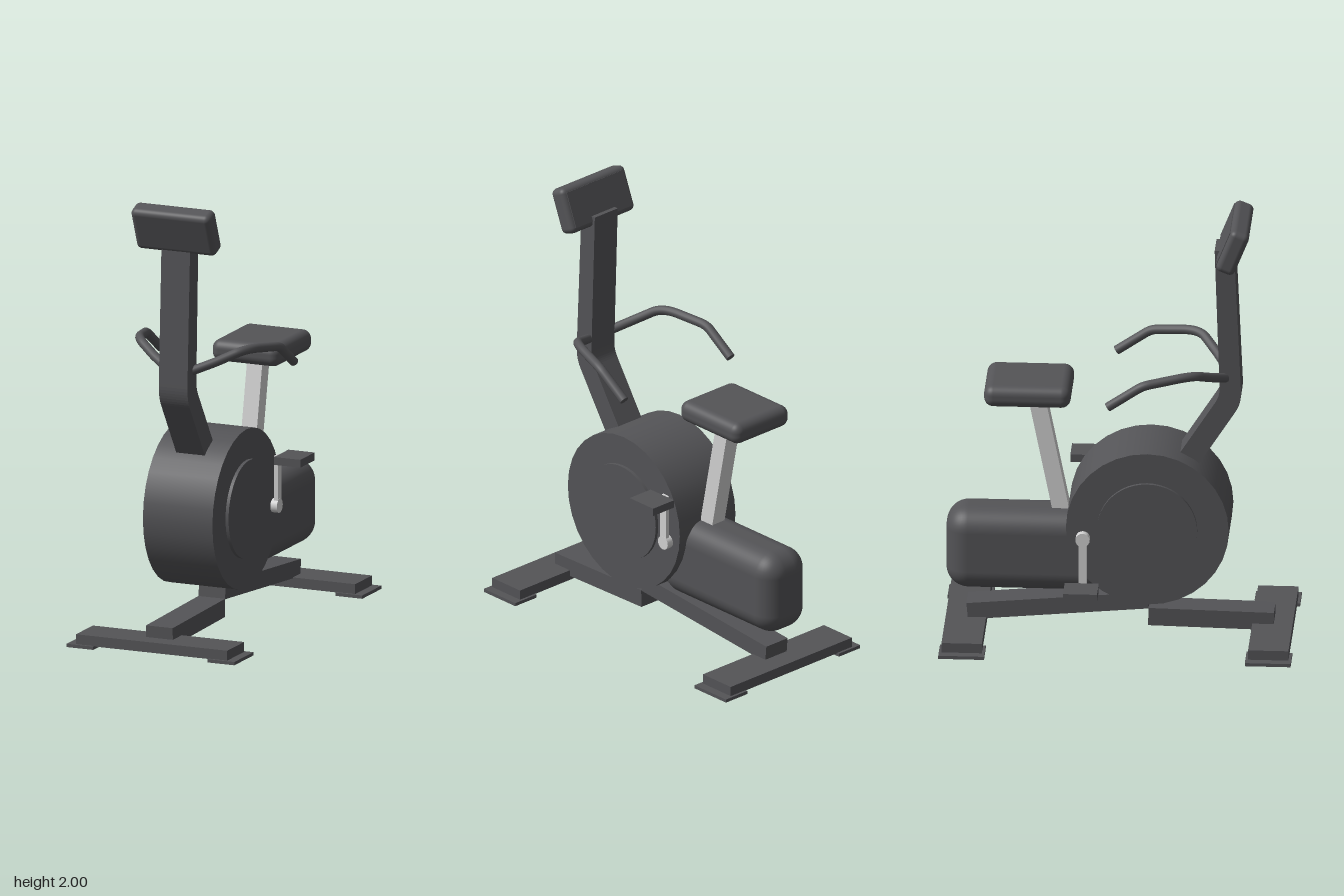
import * as THREE from 'three';
import { RoundedBoxGeometry } from 'three/addons/geometries/RoundedBoxGeometry.js';

const dark = new THREE.MeshStandardMaterial({ color: 0x545457 });
dark.name = 'charcoal';
const light = new THREE.MeshStandardMaterial({ color: 0xd2d2d2 });
light.name = 'silver';

export function createModel() {
  const model = new THREE.Group();
  model.name = 'exerciseBike';

  const add = (name, geometry, material, x = 0, y = 0, z = 0) => {
    const mesh = new THREE.Mesh(geometry, material);
    mesh.name = name;
    mesh.position.set(x, y, z);
    model.add(mesh);
    return mesh;
  };
  const box = (name, material, w, h, d, x, y, z) =>
    add(name, new THREE.BoxGeometry(w, h, d), material, x, y, z);
  const rounded = (name, w, h, d, r, x, y, z) =>
    add(name, new RoundedBoxGeometry(w, h, d, 5, r), dark, x, y, z);

  // Bar on the centre plane between two [z, y] points
  const bar = (name, material, a, b, width, thickness) => {
    const dz = b[0] - a[0], dy = b[1] - a[1];
    const mesh = box(name, material, width, thickness, Math.hypot(dz, dy),
      0, (a[1] + b[1]) / 2, (a[0] + b[0]) / 2);
    mesh.rotation.x = -Math.atan2(dy, dz);
  };

  // Cylinder lying along x
  const drum = (name, material, radius, length, sides, x, y, z) => {
    const geometry = new THREE.CylinderGeometry(radius, radius, length, sides);
    geometry.rotateZ(Math.PI / 2);
    geometry.rotateX(Math.PI / 2);
    return add(name, geometry, material, x, y, z);
  };

  // Feet with thin pads at their ends
  for (const [name, z] of [['frontFoot', 0.678], ['rearFoot', -0.688]]) {
    box(name, dark, 0.74, 0.047, 0.18, 0, 0.0365, z);
    for (const s of [-1, 1])
      box(name + 'Pad', dark, 0.13, 0.015, 0.204, s * 0.345, 0.0075, z);
  }

  // Struts from the feet to the wheel
  bar('frontStrut', dark, [0.125, 0.082], [0.684, 0.072], 0.13, 0.083);
  bar('rearStrut', dark, [0.122, 0.16], [-0.682, 0.087], 0.13, 0.078);

  // Flywheel housing and its side covers
  drum('flywheel', dark, 0.363, 0.34, 32, 0, 0.548, 0.127);
  drum('flywheelCover', dark, 0.223, 0.37, 48, 0, 0.548, 0.127);

  // Rear housing
  rounded('rearHousing', 0.256, 0.385, 0.74, 0.1, 0, 0.392, -0.407);

  // Seat and post
  bar('seatPost', light, [-0.255, 0.52], [-0.376, 1.125], 0.075, 0.075);
  rounded('seat', 0.334, 0.1, 0.386, 0.042, 0, 1.16, -0.41);

  // Bent mast, drawn in (z, y) and extruded across x
  const outline = new THREE.Shape();
  outline.moveTo(0.32, 0.78);
  outline.lineTo(0.515, 1.085);
  outline.quadraticCurveTo(0.542, 1.128, 0.538, 1.19);
  outline.lineTo(0.508, 1.858);
  outline.lineTo(0.421, 1.858);
  outline.lineTo(0.443, 1.2);
  outline.quadraticCurveTo(0.445, 1.16, 0.425, 1.128);
  outline.lineTo(0.24, 0.838);
  const mastGeometry = new THREE.ExtrudeGeometry(outline,
    { depth: 0.14, bevelEnabled: false, curveSegments: 8 });
  mastGeometry.translate(0, 0, -0.07);
  mastGeometry.rotateY(-Math.PI / 2);
  add('mast', mastGeometry, dark);

  // Console, leaning away from the rider, with its screen
  const console3d = new THREE.Group();
  console3d.name = 'console';
  console3d.position.set(0, 1.895, 0.507);
  console3d.rotation.x = 0.38;
  model.add(console3d);
  const body = rounded('consoleBody', 0.388, 0.21, 0.088, 0.026, 0, 0, 0);
  const screen = box('screen', dark, 0.345, 0.165, 0.008, 0, 0, -0.043);
  console3d.add(body, screen);

  // Handlebars: straight runs with rounded bends
  const handlebarPoints = [
    [0.04, 1.235, 0.48], [0.15, 1.28, 0.415], [0.265, 1.335, 0.335],
    [0.325, 1.305, 0.115], [0.325, 1.2, -0.04],
  ];
  for (const s of [-1, 1]) {
    const pts = handlebarPoints.map(([x, y, z]) => new THREE.Vector3(s * x, y, z));
    const path = new THREE.CurvePath();
    let last = pts[0];
    for (let i = 1; i < pts.length - 1; i++) {
      const t = i === 2 ? 0.35 : 0.15;
      const before = pts[i].clone().lerp(pts[i - 1], t);
      const after = pts[i].clone().lerp(pts[i + 1], t);
      path.add(new THREE.LineCurve3(last, before));
      path.add(new THREE.QuadraticBezierCurve3(before, pts[i], after));
      last = after;
    }
    path.add(new THREE.LineCurve3(last, pts[pts.length - 1]));
    add('handlebar', new THREE.TubeGeometry(path, 60, 0.021, 14), dark);

    // Flat cap closing the grip
    const end = pts[pts.length - 1];
    const cap = add('gripEnd', new THREE.CircleGeometry(0.021, 14), dark, end.x, end.y, end.z);
    cap.lookAt(end.clone().add(path.getTangent(1)));
  }

  // Cranks and pedals, one up and one down
  const axleY = 0.5, axleZ = -0.16;
  for (const s of [-1, 1]) {
    drum('crankHub', light, 0.032, 0.05, 20, s * 0.177, axleY, axleZ);
    box('crankArm', light, 0.02, 0.23, 0.037, s * 0.191, axleY + s * 0.115, axleZ);
    drum('pedalSpindle', light, 0.01, 0.06, 12, s * 0.215, axleY + s * 0.222, axleZ);
    box('pedal', dark, 0.128, 0.036, 0.152, s * 0.272, axleY + s * 0.222, axleZ - 0.003);
  }

  return model;
}
